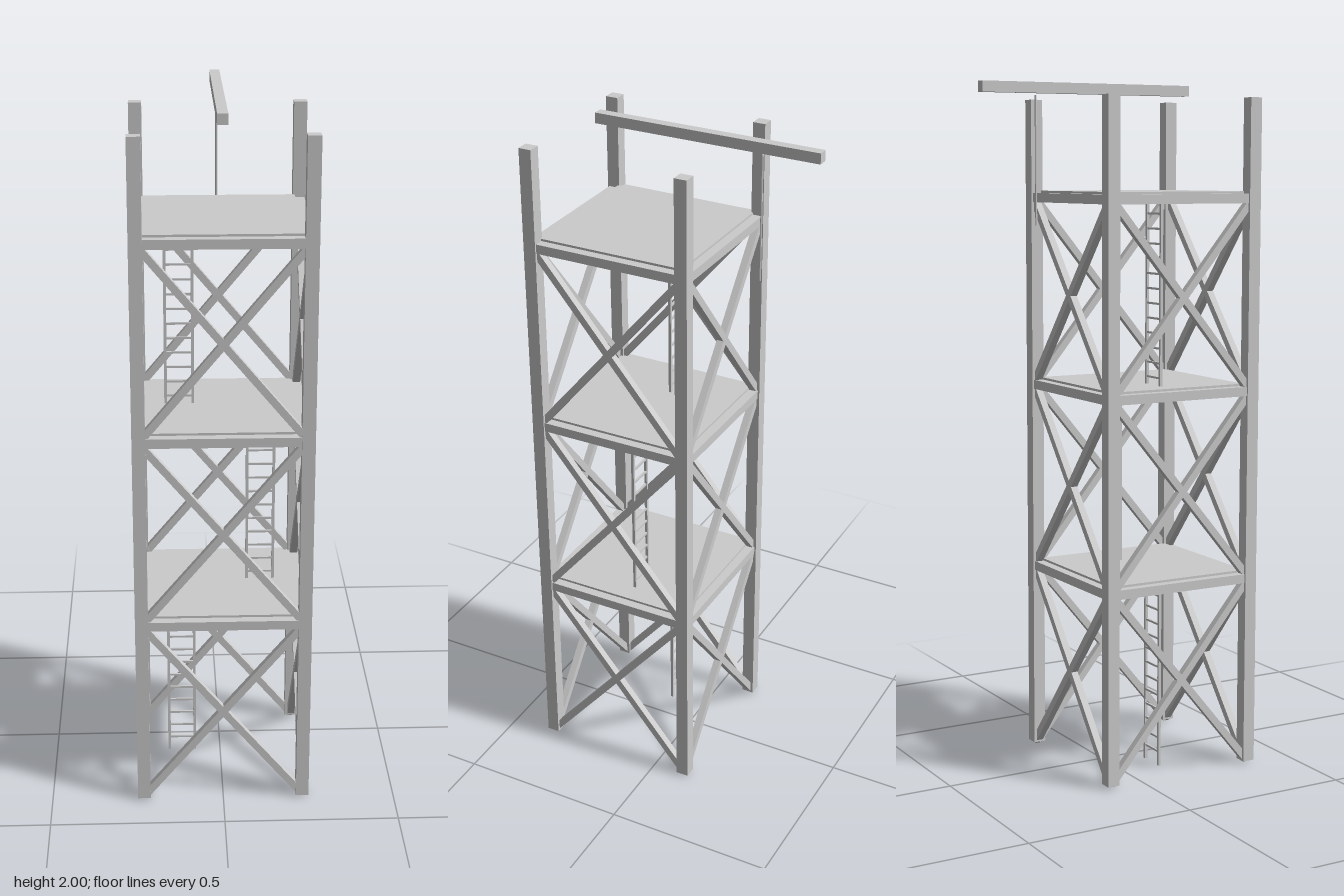
import * as THREE from 'three';

const R = 0.2315;                        // half spacing of the corner posts
const LEVELS = [0.009, 0.567, 1.122, 1.677];
const mat = new THREE.MeshStandardMaterial({ color: 0xcccccc, flatShading: true });

function box(parent, name, w, h, d, x, y, z) {
  const mesh = new THREE.Mesh(new THREE.BoxGeometry(w, h, d), mat);
  mesh.name = name;
  mesh.position.set(x, y, z);
  parent.add(mesh);
  return mesh;
}

// One ladder standing between two heights
function ladder(x, y0, y1) {
  const g = new THREE.Group();
  g.name = 'ladder';
  const h = y1 - y0, z = -0.0245;
  for (const s of [-1, 1]) box(g, 'ladderRail', 0.008, h, 0.008, x + s * 0.0385, (y0 + y1) / 2, z);
  for (let i = 1; i < 13; i++) box(g, 'ladderRung', 0.077, 0.006, 0.006, x, y0 + (h * i) / 13, z);
  return g;
}

// One side of the frame: edge beams and crossed braces on each storey
function frameSide(angle) {
  const g = new THREE.Group();
  g.name = 'frameSide';
  for (let i = 1; i < LEVELS.length; i++) {
    const y0 = LEVELS[i - 1], y1 = LEVELS[i];
    box(g, 'edgeBeam', 2 * R, 0.027, 0.027, 0, y1, R);
    const rise = y1 - y0, length = Math.hypot(2 * R, rise);
    for (const s of [-1, 1]) {
      const brace = box(g, 'crossBrace', length, 0.021, 0.021, 0, (y0 + y1) / 2, R);
      brace.rotation.z = s * Math.atan2(rise, 2 * R);
    }
  }
  g.rotation.y = angle;
  return g;
}

export function createModel() {
  const model = new THREE.Group();
  model.name = 'scaffoldTower';

  const tower = new THREE.Group();
  tower.name = 'tower';
  tower.position.z = 0.1315;
  model.add(tower);

  // Corner posts
  for (const sx of [-1, 1])
    for (const sz of [-1, 1]) box(tower, 'cornerPost', 0.037, 1.952, 0.037, sx * R, 0.985, sz * R);

  // Four braced sides
  for (let i = 0; i < 4; i++) tower.add(frameSide((i * Math.PI) / 2));

  // Decks and alternating ladders
  for (let i = 1; i < LEVELS.length; i++) {
    box(tower, 'deck', 0.436, 0.009, 0.436, 0, LEVELS[i] + 0.0155, 0);
    tower.add(ladder(i === 2 ? 0.1165 : -0.1165, LEVELS[i - 1], LEVELS[i]));
  }

  // Hoist beam with its hanging rope
  box(model, 'hoistBeam', 0.029, 0.03, 0.667, 0, 1.985, -0.0495);
  const rope = new THREE.Mesh(new THREE.CylinderGeometry(0.003, 0.003, 0.362, 8), mat);
  rope.name = 'hoistRope';
  rope.position.set(0, 1.783, -0.212);
  model.add(rope);

  return model;
}
